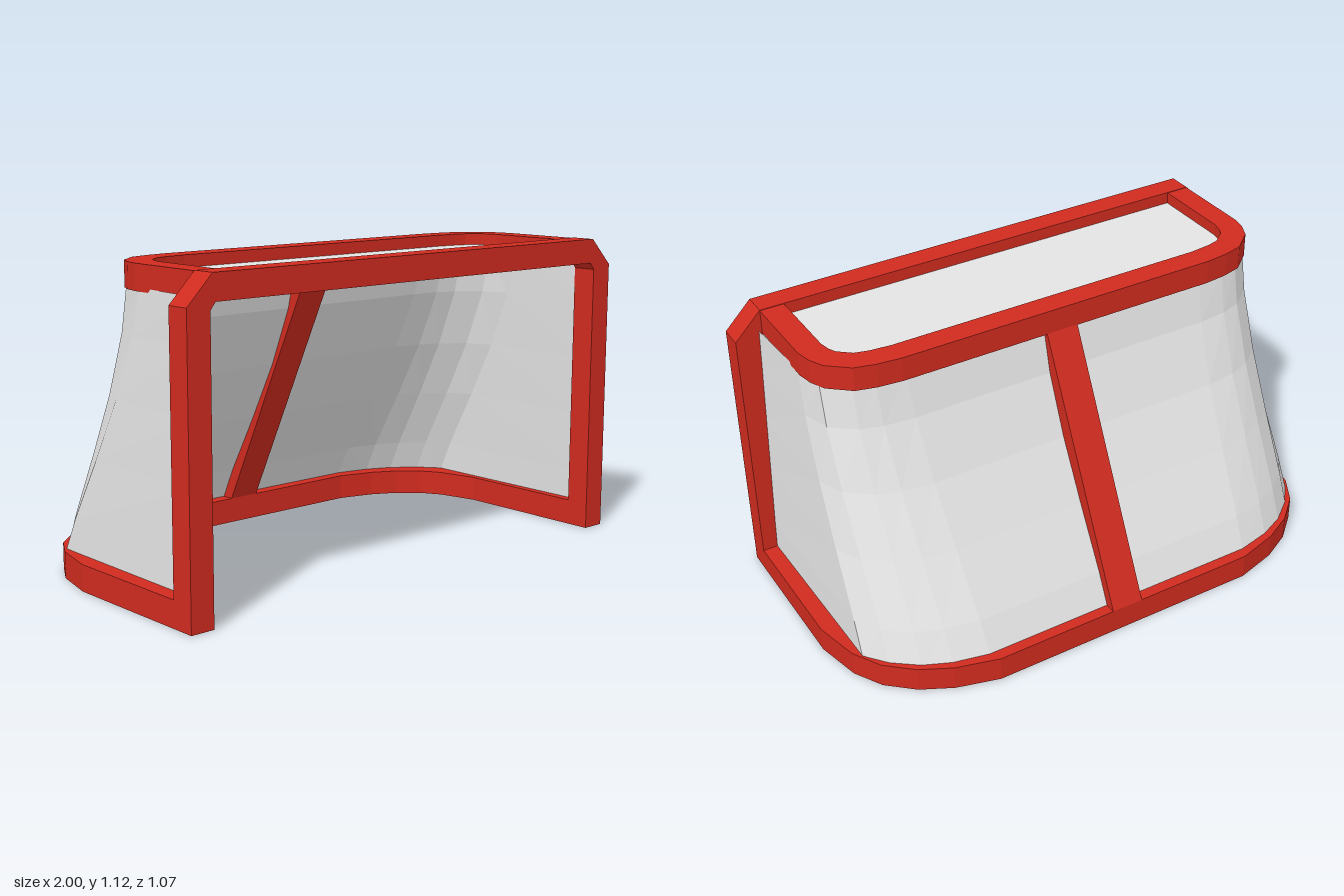
import * as THREE from 'three';

const red = new THREE.MeshStandardMaterial({ color: 0xd02b1f, flatShading: true });
red.name = 'red frame';
const white = new THREE.MeshStandardMaterial({ color: 0xe3e3e3, flatShading: true, side: THREE.DoubleSide });
white.name = 'pale net';

const FRONT = 0.535, BACK_OF_POST = 0.445, BAR = 0.09;

// Mirror the left half of a U path (x, z) into the whole U, left front to right front
function uPath(half) {
  const left = half.map(([x, z]) => new THREE.Vector2(x, z));
  return [...left, ...left.map(p => new THREE.Vector2(-p.x, p.y)).reverse()];
}

// Move a path inward with mitred corners
function inset(path, d) {
  const normal = (a, b) => {
    const t = b.clone().sub(a).normalize();
    return new THREE.Vector2(t.y, -t.x);
  };
  return path.map((p, i) => {
    const n1 = normal(path[Math.max(i - 1, 0)], path[Math.max(i, 1)]);
    const last = path.length - 1;
    const n2 = normal(path[Math.min(i, last - 1)], path[Math.min(i + 1, last)]);
    const m = n1.clone().add(n2).normalize();
    return p.clone().addScaledVector(m, d / m.dot(n1));
  });
}

// Plan outlines on the floor become shapes with y = -z
const planShape = pts => new THREE.Shape(pts.map(p => new THREE.Vector2(p.x, -p.y)));

// Outer edges of the floor and top bars
const basePath = uPath([[1, BACK_OF_POST], [1, -0.07], [0.96, -0.24], [0.9, -0.345],
  [0.805, -0.43], [0.69, -0.49], [0.53, -0.535]]);
const topPath = uPath([[0.9, BACK_OF_POST], [0.9, 0.13], [0.888, 0.07], [0.862, 0.015],
  [0.785, -0.05], [0.71, -0.07], [0.62, -0.08]]);

// Lower and upper edges of the net
const netLow = uPath([[0.945, 0.46], [0.935, -0.28], [0.87, -0.36],
  [0.78, -0.43], [0.68, -0.475], [0.55, -0.505]]);
const netHigh = uPath([[0.912, 0.46], [0.897, 0.15], [0.872, 0.04],
  [0.785, -0.03], [0.71, -0.05], [0.6, -0.058]]);

function add(group, name, geometry, material) {
  const mesh = new THREE.Mesh(geometry, material);
  mesh.name = name;
  group.add(mesh);
}

function uBar(path, y, height) {
  const shape = planShape([...path, ...inset(path, BAR).reverse()]);
  return new THREE.ExtrudeGeometry(shape, { depth: height, bevelEnabled: false })
    .rotateX(-Math.PI / 2).translate(0, y, 0);
}

// Net lofted from base to top, sagging forward everywhere but at the posts
function netGeometry() {
  const rows = [[0.07, 0], [0.21, 0.012], [0.44, 0.032], [0.66, 0.044], [0.88, 0.032], [1.04, 0]];
  const pos = [], index = [], n = netLow.length;
  rows.forEach(([y, sag], r) => {
    const t = THREE.MathUtils.clamp((y - 0.095) / 0.935, 0, 1);
    for (let i = 0; i < n; i++) {
      const p = netLow[i].clone().lerp(netHigh[i], t);
      const atPost = i === 0 || i === n - 1;
      pos.push(p.x, y, p.y + (atPost ? 0 : sag));
      if (r && i) {
        const a = (r - 1) * n + i - 1, b = a + 1, c = a + n, d = b + n;
        index.push(a, b, d, a, d, c);
      }
    }
  });
  const g = new THREE.BufferGeometry();
  g.setAttribute('position', new THREE.Float32BufferAttribute(pos, 3));
  g.setIndex(index);
  g.computeVertexNormals();
  return g;
}

export function createModel() {
  const goal = new THREE.Group();
  goal.name = 'goal';

  // Front posts and crossbar with chamfered corners
  const outline = [[1, 0], [1, 1.02], [0.9, 1.12], [-0.9, 1.12], [-1, 1.02], [-1, 0],
    [-0.91, 0], [-0.91, 1.005], [-0.89, 1.03], [0.89, 1.03], [0.91, 1.005], [0.91, 0]];
  const frame = new THREE.Shape(outline.map(([x, y]) => new THREE.Vector2(x, y)));
  add(goal, 'frontFrame', new THREE.ExtrudeGeometry(frame,
    { depth: FRONT - BACK_OF_POST, bevelEnabled: false }).translate(0, 0, BACK_OF_POST), red);

  // Curved bars on the floor and at the top
  add(goal, 'baseBar', uBar(basePath, 0, 0.095), red);
  add(goal, 'topBar', uBar(topPath, 1.028, 0.09), red);

  // Sloping brace at the back: profile (-z, y) turned to run across x
  const brace = new THREE.Shape([[0.08, 1.03], [-0.01, 1.03], [0.445, 0.095], [0.535, 0.095]]
    .map(([z, y]) => new THREE.Vector2(z, y)));
  add(goal, 'backBrace', new THREE.ExtrudeGeometry(brace, { depth: 0.124, bevelEnabled: false })
    .translate(0, 0, -0.062).rotateY(Math.PI / 2), red);

  // Net around the back and sides, and over the top
  add(goal, 'net', netGeometry(), white);
  add(goal, 'topNet', new THREE.ShapeGeometry(planShape(inset(topPath, 0.08)))
    .rotateX(-Math.PI / 2).translate(0, 1.075, 0), white);

  return goal;
}
